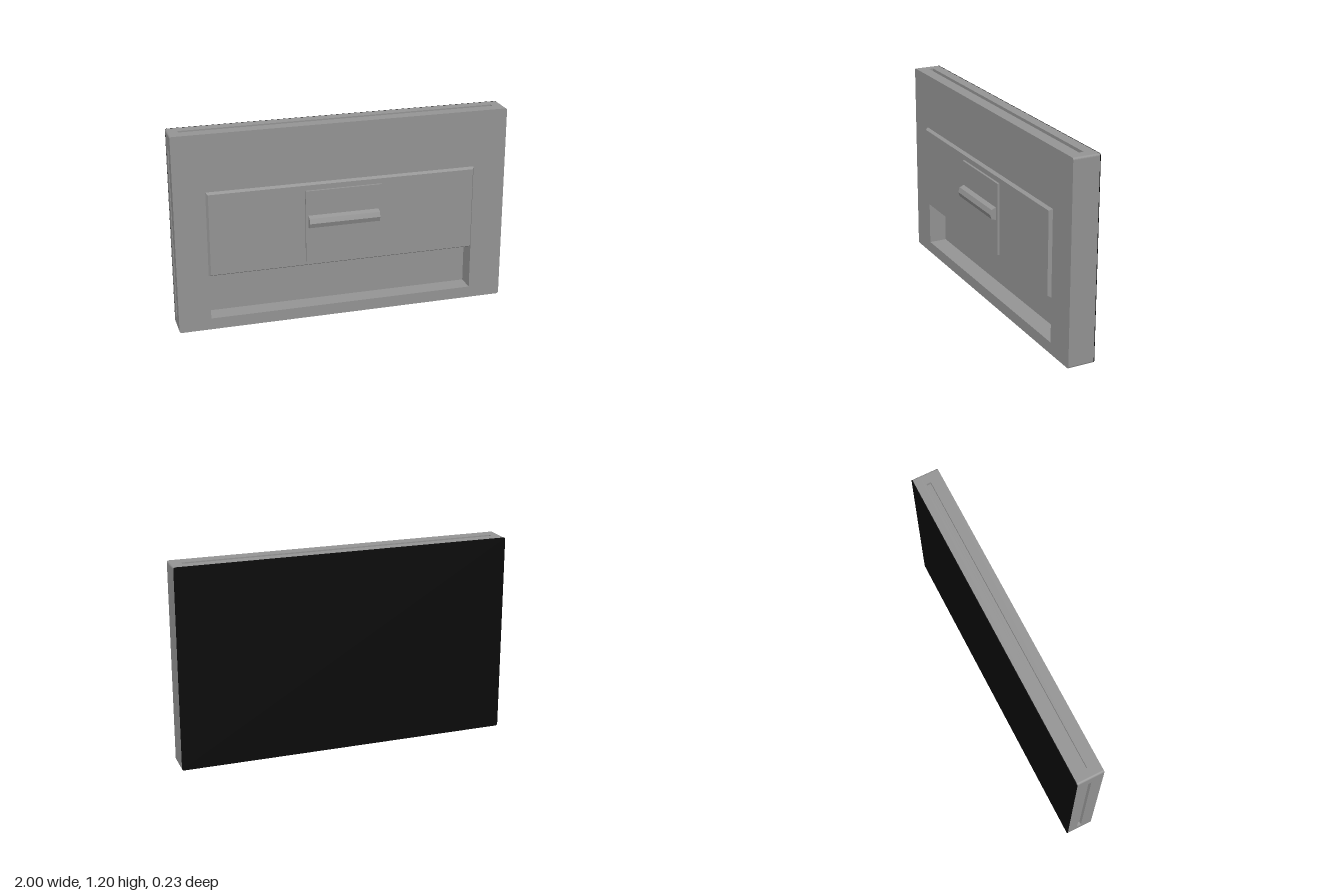
import * as THREE from 'three';

const W = 1, H = 1.2, R = 0.012; // half width, height, corner radius
const SLOT = 0.02; // vent slot depth
const RECESS = { x0: -0.81, x1: 0.802, y0: 0.07, y1: 0.342 };

// Rounded panel outline, optionally notched where the vent slots run
function outline(notched) {
  const s = new THREE.Shape();
  const corner = (x, y, start) => s.absarc(x, y, R, start, start + Math.PI / 2, false);
  const path = (pts) => notched && pts.forEach(([x, y]) => s.lineTo(x, y));
  s.moveTo(-W + R, 0);
  path([[-0.94, 0], [-0.94, SLOT], [0.935, SLOT], [0.935, 0]]);
  corner(W - R, R, -Math.PI / 2);
  corner(W - R, H - R, 0);
  path([[0.935, H], [0.935, H - SLOT], [-0.94, H - SLOT], [-0.94, H]]);
  corner(-W + R, H - R, Math.PI / 2);
  path([[-W, 1.1], [-W + SLOT, 1.1], [-W + SLOT, 0.07], [-W, 0.07]]);
  corner(-W + R, R, Math.PI);
  return s;
}

// Slab of the panel between two depths
function slab(name, z0, z1, material, { hole = false, notched = false } = {}) {
  const shape = outline(notched);
  if (hole) {
    const { x0, x1, y0, y1 } = RECESS;
    shape.holes.push(new THREE.Path([[x0, y0], [x0, y1], [x1, y1], [x1, y0]]
      .map(([x, y]) => new THREE.Vector2(x, y))));
  }
  const geo = new THREE.ExtrudeGeometry(shape, { depth: z1 - z0, bevelEnabled: false, curveSegments: 4 });
  geo.translate(0, 0, z0);
  const mesh = new THREE.Mesh(geo, material);
  mesh.name = name;
  return mesh;
}

// Box given by its limits; the front face can be drawn in by an inset
function block(name, [x0, x1], [y0, y1], [z0, z1], material, inset = 0) {
  const w = x1 - x0, h = y1 - y0;
  const geo = new THREE.BoxGeometry(w, h, z1 - z0);
  const p = geo.attributes.position;
  for (let i = 0; i < p.count; i++) {
    if (p.getZ(i) > 0) {
      p.setX(i, p.getX(i) * (1 - 2 * inset / w));
      p.setY(i, p.getY(i) * (1 - 2 * inset / h));
    }
  }
  geo.translate((x0 + x1) / 2, (y0 + y1) / 2, (z0 + z1) / 2);
  geo.computeVertexNormals();
  const mesh = new THREE.Mesh(geo, material);
  mesh.name = name;
  return mesh;
}

export function createModel() {
  const grey = new THREE.MeshStandardMaterial({ color: 0x949494 });
  grey.name = 'grey casing';
  const black = new THREE.MeshStandardMaterial({ color: 0x0a0a0a });
  black.name = 'black glass';

  const model = new THREE.Group();
  model.name = 'flatPanelDisplay';

  // Casing: slabs from the screen side to the mount side
  const casing = new THREE.Group();
  casing.name = 'casing';
  casing.add(
    slab('casingRear', -0.111, -0.063, grey),
    slab('casingRecessBack', -0.063, -0.051, grey, { hole: true }),
    slab('casingVentLayer', -0.051, -0.024, grey, { hole: true, notched: true }),
    slab('casingFront', -0.024, 0.048, grey, { hole: true }),
  );
  model.add(casing, slab('screen', -0.115, -0.111, black));

  // Raised cover with bevelled rim, and the mounting plate on it
  model.add(
    block('cover', [-0.815, 0.802], [0.342, 0.857], [0.048, 0.067], grey, 0.011),
    block('mountPlate', [-0.24, 0.22], [0.375, 0.815], [0.067, 0.08], grey),
  );

  // Faceted bar across the plate; profile in (depth, height), extruded along x
  const profile = [[0.08, 0.588], [0.107, 0.597], [0.117, 0.625], [0.107, 0.654], [0.08, 0.665]];
  const barShape = new THREE.Shape(profile.map(([z, y]) => new THREE.Vector2(-z, y)));
  const barGeo = new THREE.ExtrudeGeometry(barShape, { depth: 0.425, bevelEnabled: false });
  barGeo.rotateY(Math.PI / 2).translate(-0.225, 0, 0);
  const bar = new THREE.Mesh(barGeo, grey);
  bar.name = 'mountBar';
  model.add(bar);

  // Sockets under the recess ceiling
  for (const x of [-0.427, -0.235]) {
    model.add(block('socket', [x - 0.011, x + 0.011], [0.33, 0.342], [-0.025, 0.0], black));
  }
  return model;
}
